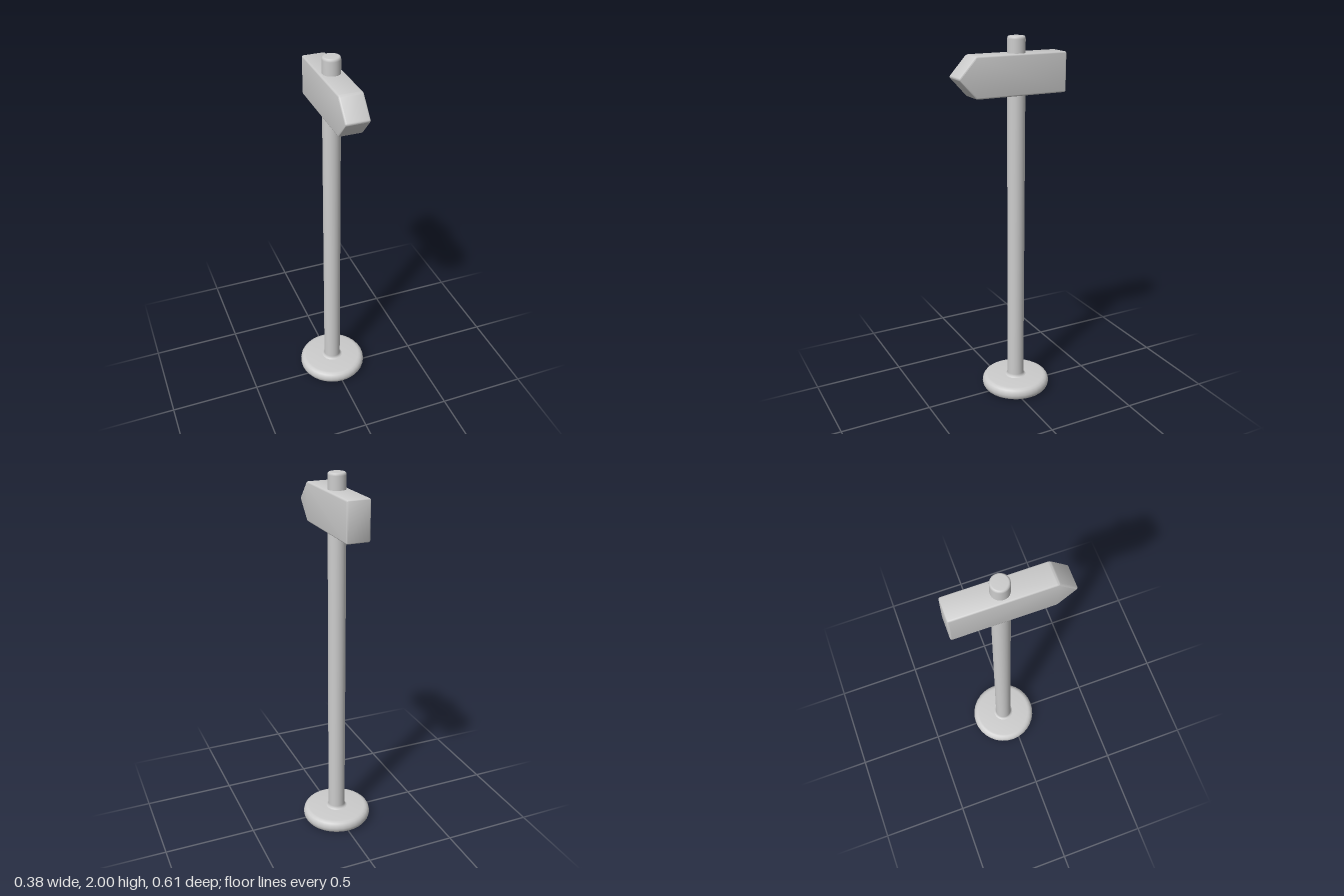
import * as THREE from 'three';
import { toCreasedNormals } from 'three/addons/utils/BufferGeometryUtils.js';

// Closed outline whose corners are softened by distance r
function roundedOutline(points, r) {
  const pts = points.map(([x, y]) => new THREE.Vector2(x, y));
  const toward = (a, b) => a.clone().add(b.clone().sub(a).setLength(r));
  const shape = new THREE.Shape();
  pts.forEach((p, i) => {
    const start = toward(p, pts[(i + pts.length - 1) % pts.length]);
    const end = toward(p, pts[(i + 1) % pts.length]);
    if (i === 0) shape.moveTo(start.x, start.y);
    else shape.lineTo(start.x, start.y);
    shape.quadraticCurveTo(p.x, p.y, end.x, end.y);
  });
  shape.closePath();
  return shape;
}

function lathe(profile) {
  return new THREE.LatheGeometry(profile.map(([r, y]) => new THREE.Vector2(r, y)), 32);
}

export function createModel() {
  const group = new THREE.Group();
  const grey = new THREE.MeshStandardMaterial({ color: 0xcccccc });
  grey.name = 'light grey';
  const poleZ = -0.043;

  const add = (name, geometry, z = 0) => {
    const mesh = new THREE.Mesh(geometry, grey);
    mesh.name = name;
    mesh.position.z = z;
    group.add(mesh);
  };

  // Round foot with soft rims
  const foot = lathe([
    [0, 0], [0.16, 0], [0.171, 0.002], [0.182, 0.009], [0.189, 0.02], [0.192, 0.036],
    [0.189, 0.052], [0.182, 0.063], [0.171, 0.07], [0.16, 0.072], [0.03, 0.072],
  ]);
  add('base', toCreasedNormals(foot, 0.7), poleZ);

  // Pole flaring slightly into the foot, with a softened top
  add('pole', lathe([
    [0.062, 0.071], [0.054, 0.074], [0.049, 0.08], [0.047, 0.09], [0.047, 1.985],
    [0.046, 1.993], [0.042, 1.998], [0.037, 2], [0, 2],
  ]), poleZ);

  // Arrow board pointing forward
  const outline = roundedOutline([
    [-0.304, 1.705], [0.21, 1.705], [0.306, 1.81], [0.21, 1.915], [-0.304, 1.915],
  ], 0.011);
  const bevel = 0.008, half = 0.063;
  const board = new THREE.ExtrudeGeometry(outline, {
    depth: 2 * (half - bevel), curveSegments: 4,
    bevelThickness: bevel, bevelSize: bevel, bevelOffset: -bevel, bevelSegments: 3,
  });
  board.translate(0, 0, -(half - bevel)).rotateY(-Math.PI / 2);
  add('arrowSign', toCreasedNormals(board, 0.7));

  return group;
}
